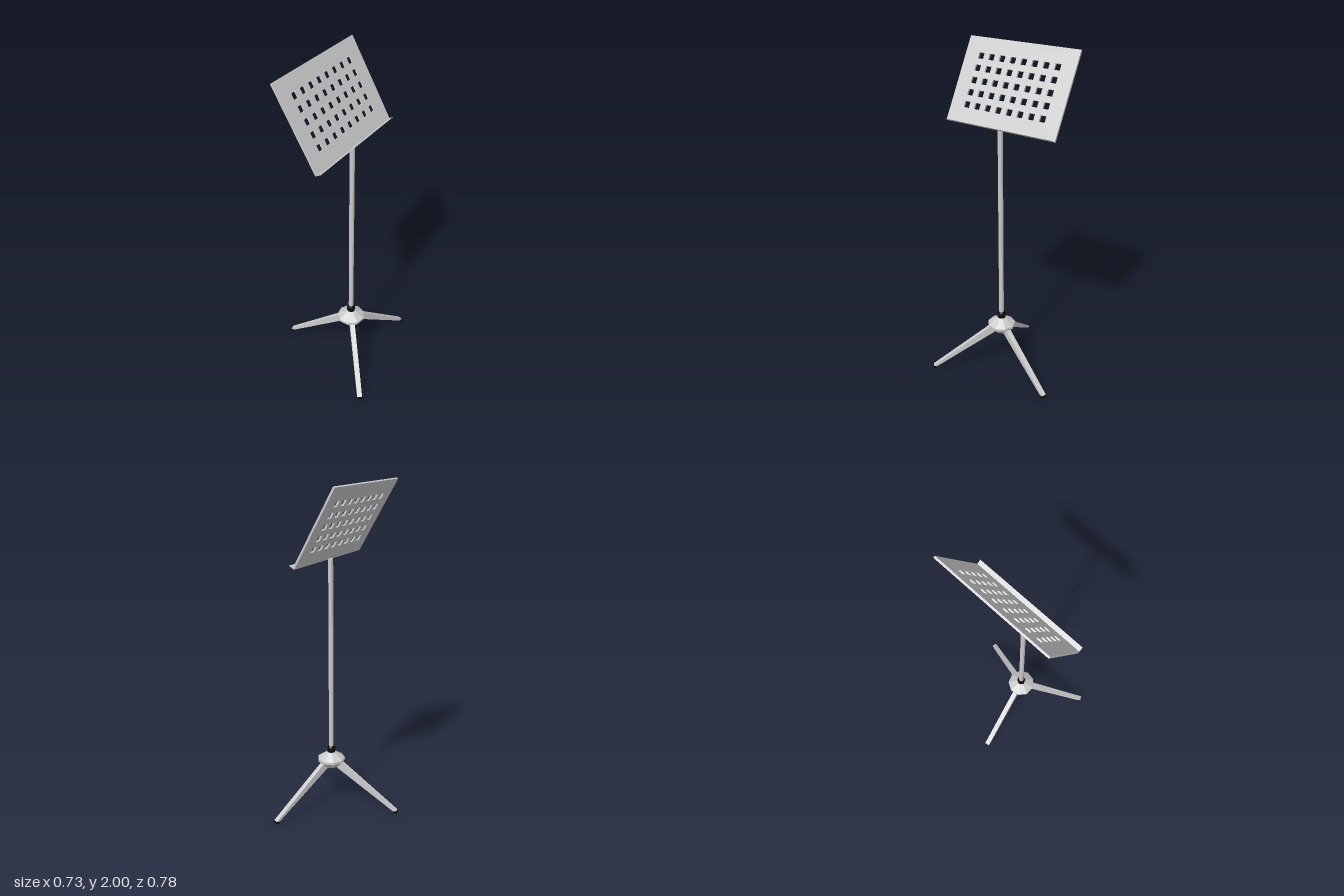
import * as THREE from 'three';

const grey = new THREE.MeshStandardMaterial({ color: 0xcccccc, flatShading: true });
const thin = new THREE.MeshStandardMaterial({ color: 0xcccccc, flatShading: true, side: THREE.DoubleSide });
const black = new THREE.MeshStandardMaterial({ color: 0x0a0a0a, flatShading: true });

function part(name, geometry, material = grey) {
  const mesh = new THREE.Mesh(geometry, material);
  mesh.name = name;
  return mesh;
}

// Nine-sided turned part from [radius, height] pairs, bottom to top
function turned(name, profile, material) {
  const points = profile.map(([r, y]) => new THREE.Vector2(r, y));
  return part(name, new THREE.LatheGeometry(points, 9, Math.PI / 3), material);
}

// Perforated desk panel with its ledge, tilted back towards -x
function createDesk() {
  const desk = new THREE.Group();
  desk.name = 'desk';
  const width = 0.72, height = 0.505, thickness = 0.0115, ledgeDepth = 0.039;
  const rect = (target, x, y, w, h) => target
    .moveTo(x - w / 2, y - h / 2).lineTo(x + w / 2, y - h / 2)
    .lineTo(x + w / 2, y + h / 2).lineTo(x - w / 2, y + h / 2).closePath();

  const shape = new THREE.Shape();
  rect(shape, 0, 0, width, height);
  for (let i = 0; i < 8; i++) {
    for (let j = 0; j < 5; j++) {
      const hole = new THREE.Path();
      rect(hole, (i - 3.5) * 0.0716, (j - 2) * 0.072, 0.036, 0.036);
      shape.holes.push(hole);
    }
  }
  desk.add(part('panel', new THREE.ExtrudeGeometry(shape, { depth: thickness, bevelEnabled: false })));

  const ledge = part('ledge', new THREE.PlaneGeometry(width, ledgeDepth).rotateX(-Math.PI / 2), thin);
  ledge.position.set(0, -height / 2, ledgeDepth / 2);
  desk.add(ledge);

  const tilt = Math.PI / 6, c = Math.cos(tilt), s = Math.sin(tilt);
  const basis = new THREE.Matrix4().makeBasis(
    new THREE.Vector3(0, 0, -1), new THREE.Vector3(-s, c, 0), new THREE.Vector3(c, s, 0));
  desk.quaternion.setFromRotationMatrix(basis);
  desk.position.set(0.01 - s * height / 2, 1.557 + c * height / 2, 0);
  return desk;
}

// Tapered leg with a rubber foot, pointing along +x before it is turned
function createLeg(angle) {
  const leg = new THREE.Group();
  leg.name = 'leg';
  const shape = new THREE.Shape([[0.04, 0.25], [0.422, 0.006], [0.434, 0.015], [0.04, 0.308]]
    .map(([x, y]) => new THREE.Vector2(x, y)));
  const bar = new THREE.ExtrudeGeometry(shape, { depth: 0.03, bevelEnabled: false });
  leg.add(part('legBar', bar.translate(0, 0, -0.015)));
  const foot = part('foot', new THREE.BoxGeometry(0.018, 0.014, 0.033), black);
  foot.position.set(0.428, 0.007, 0);
  leg.add(foot);
  leg.rotation.y = -THREE.MathUtils.degToRad(angle);
  return leg;
}

export function createModel() {
  const model = new THREE.Group();
  model.name = 'musicStand';
  model.position.set(0, 0, 0);

  // Everything is built around the pole axis
  const stand = new THREE.Group();
  stand.name = 'stand';
  stand.position.set(0.067, 0, 0.03);
  model.add(stand);

  stand.add(turned('pole', [[0.015, 0.33], [0.015, 1.562], [0, 1.562]]));
  stand.add(turned('collar', [[0.025, 0.335], [0.025, 0.375], [0.019, 0.386], [0, 0.386]], black));
  stand.add(turned('hub', [[0, 0.25], [0.045, 0.25], [0.086, 0.29], [0.086, 0.305], [0.027, 0.346], [0, 0.346]]));
  for (const angle of [50, 170, 290]) stand.add(createLeg(angle));
  stand.add(createDesk());
  return model;
}
